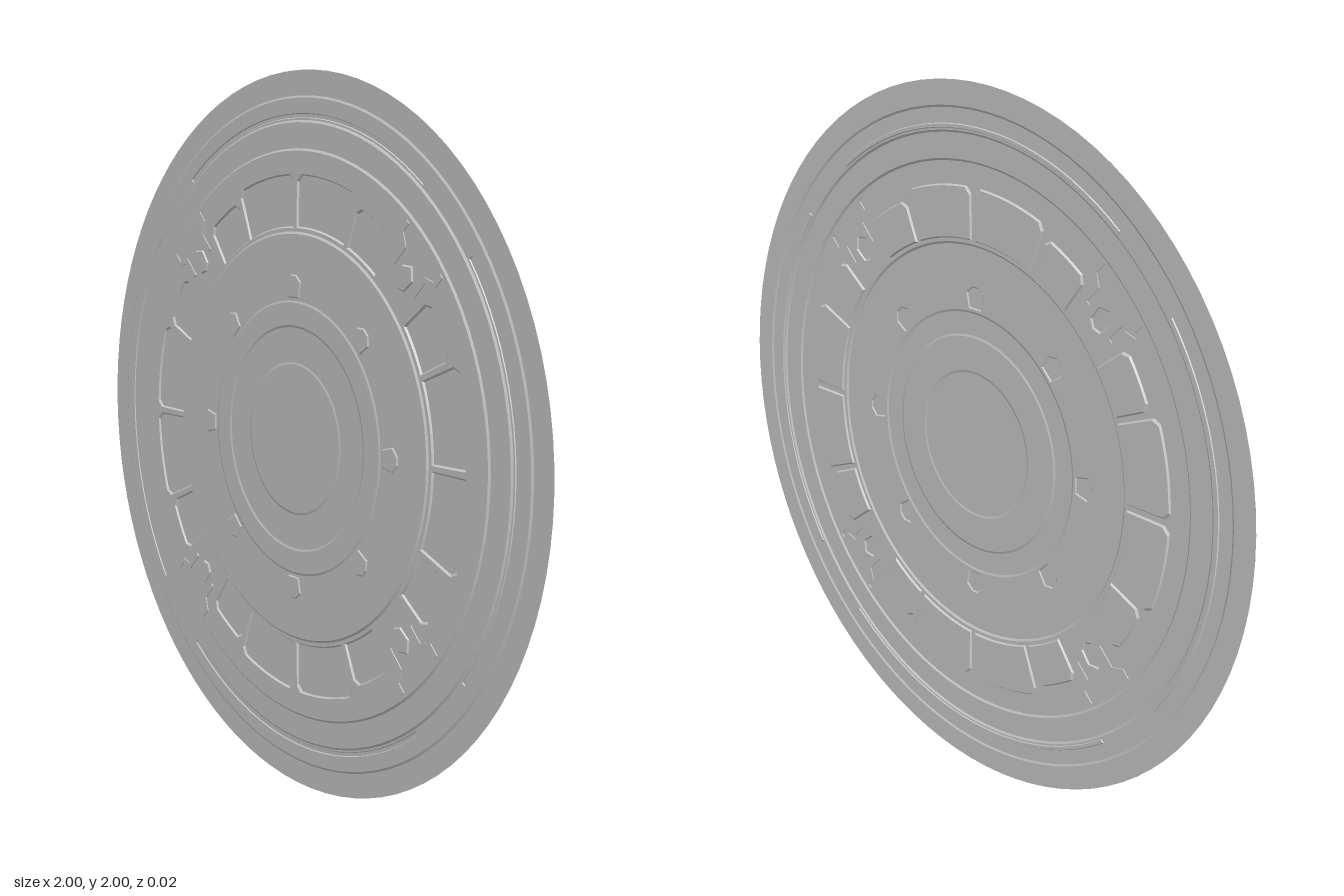
import * as THREE from 'three';
import { mergeGeometries } from 'three/addons/utils/BufferGeometryUtils.js';

const material = new THREE.MeshStandardMaterial({ color: 0xcccccc, side: THREE.DoubleSide });
const STEP = Math.PI / 8;
const polar = (r, a) => new THREE.Vector2(r * Math.cos(a), r * Math.sin(a));

// Closed circle of points
const circle = (r, n = 96) =>
  Array.from({ length: n }, (_, i) => polar(r, (i / n) * Math.PI * 2));

// Sector of a ring, with optional chamfers on the outer corners
function sector(r0, r1, a0, a1, chamfer = 0, n = 8) {
  return (inset) => {
    const d = inset / r0, ri = r0 + inset, ro = r1 - inset;
    const s = a0 + d, e = a1 - d, c = chamfer / r1, pts = [];
    for (let i = 0; i <= n; i++) pts.push(polar(ri, s + ((e - s) * i) / n));
    if (chamfer) pts.push(polar(ro - chamfer, e));
    for (let i = 0; i <= n; i++) pts.push(polar(ro, e - c - ((e - s - 2 * c) * i) / n));
    if (chamfer) pts.push(polar(ro - chamfer, s));
    return pts;
  };
}

// Small polygon given as [outward, sideways] offsets around a point at radius r
function badge(r, a, corners) {
  return (inset) => corners.map(([u, v]) => {
    const k = 1 - inset / 0.035;
    return new THREE.Vector2(r + u * k, v * k).rotateAround(new THREE.Vector2(), a);
  });
}

// Flat sheet at height z with cut-outs
function plate(outline, holes, z) {
  const shape = new THREE.Shape(outline);
  shape.holes = holes.map((h) => new THREE.Path(h));
  return new THREE.ShapeGeometry(shape).translate(0, 0, z).toNonIndexed();
}

// Sloping wall joining two matching loops
function wall(a, za, b, zb) {
  const pos = [];
  a.forEach((p, i) => {
    const j = (i + 1) % a.length;
    const q = a[j], s = b[i], t = b[j];
    pos.push(p.x, p.y, za, q.x, q.y, za, t.x, t.y, zb);
    pos.push(p.x, p.y, za, t.x, t.y, zb, s.x, s.y, zb);
  });
  const g = new THREE.BufferGeometry();
  g.setAttribute('position', new THREE.Float32BufferAttribute(pos, 3));
  g.setAttribute('uv', new THREE.Float32BufferAttribute(new Float32Array((pos.length / 3) * 2), 2));
  g.computeVertexNormals();
  return g;
}

export function createModel() {
  const group = new THREE.Group();
  const add = (name, parts) => {
    const mesh = new THREE.Mesh(mergeGeometries(parts), material);
    mesh.name = name;
    group.add(mesh);
  };

  // Pressed features: each is cut out of its ring and rejoined at another height
  const emboss = (name, loops, z0, z1, inset = 0.004) => {
    add(name, loops.flatMap((f) => [wall(f(0), z0, f(inset), z1), plate(f(inset), [], z1)]));
    return loops.map((f) => f(0));
  };

  // Level of every concentric ring, from the rim inward
  const rings = [
    { name: 'rim', r: 1, z: -0.009, holes: [] },
    { name: 'outerStep', r: 0.93, z: -0.006, holes: [] },
    { name: 'outerBand', r: 0.865, z: -0.002, holes: [] },
    { name: 'panelRing', r: 0.79, z: 0.002, holes: [] },
    { name: 'collar', r: 0.567, z: 0.006, holes: [] },
    { name: 'hubRing', r: 0.38, z: 0.008, holes: [] },
    { name: 'hubDish', r: 0.312, z: 0.006, holes: [] },
    { name: 'centreDisc', r: 0.21, z: 0.0075, holes: [] },
  ];
  const [, outerStep, , panelRing, collar] = rings;

  // Four long grooves near the rim, open at the diagonals
  const grooves = [], panels = [], diamonds = [], hooks = [], studs = [];
  for (let q = 0; q < 4; q++) {
    const a = (q * Math.PI) / 2;
    grooves.push(sector(0.873, 0.886, a - 0.645, a + 0.645, 0, 24));

    // Four recessed panels per quarter, the outer pair cut short by the diagonal ornament
    for (const side of [-1, 1]) {
      const span = (s, e) => (side > 0 ? [a + s, a + e] : [a - e, a - s]);
      panels.push(sector(0.58, 0.725, ...span(0.012, STEP - 0.012), 0.018));
      panels.push(sector(0.58, 0.7, ...span(STEP + 0.012, 0.64), 0.018));
    }

    // Diagonal ornament: a pointed lozenge between two hooked ridges
    const d = a + Math.PI / 4;
    diamonds.push(badge(0.665, d, [[0.04, 0], [0.015, 0.03], [-0.03, 0.024], [-0.042, 0], [-0.03, -0.024], [0.015, -0.03]]));
    for (const m of [-1, 1]) {
      hooks.push(badge(0.72, d, [
        [-0.065, 0.05 * m], [0.0, 0.05 * m], [0.02, 0.085 * m], [0.05, 0.085 * m],
        [0.05, 0.098 * m], [0.012, 0.098 * m], [-0.008, 0.063 * m], [-0.065, 0.063 * m],
      ]));
    }
  }

  // Eight pointed studs around the hub
  for (let i = 0; i < 8; i++) {
    studs.push(badge(0.42, (i * Math.PI) / 4,
      [[0.034, 0.012], [0.034, -0.012], [0.014, -0.034], [-0.03, -0.024], [-0.03, 0.024], [0.014, 0.034]]));
  }

  outerStep.holes = emboss('grooves', grooves, outerStep.z, -0.0085, 0.002);
  panelRing.holes = [
    ...emboss('panels', panels, panelRing.z, -0.003),
    ...emboss('diamonds', diamonds, panelRing.z, 0.006),
    ...emboss('hooks', hooks, panelRing.z, 0.005, 0),
  ];
  collar.holes = emboss('studs', studs, collar.z, 0.009);

  // Concentric rings and the small bevels between them
  rings.forEach(({ name, r, z, holes }, i) => {
    const next = rings[i + 1];
    const cut = next ? [circle(next.r + 0.003)] : [];
    const parts = [plate(circle(i ? r - 0.003 : r), [...cut, ...holes], z)];
    if (next) parts.push(wall(circle(next.r + 0.003), z, circle(next.r - 0.003), next.z));
    add(name, parts);
  });

  group.position.y = 1;
  const model = new THREE.Group();
  model.name = 'embossedDisc';
  model.add(group);
  return model;
}
